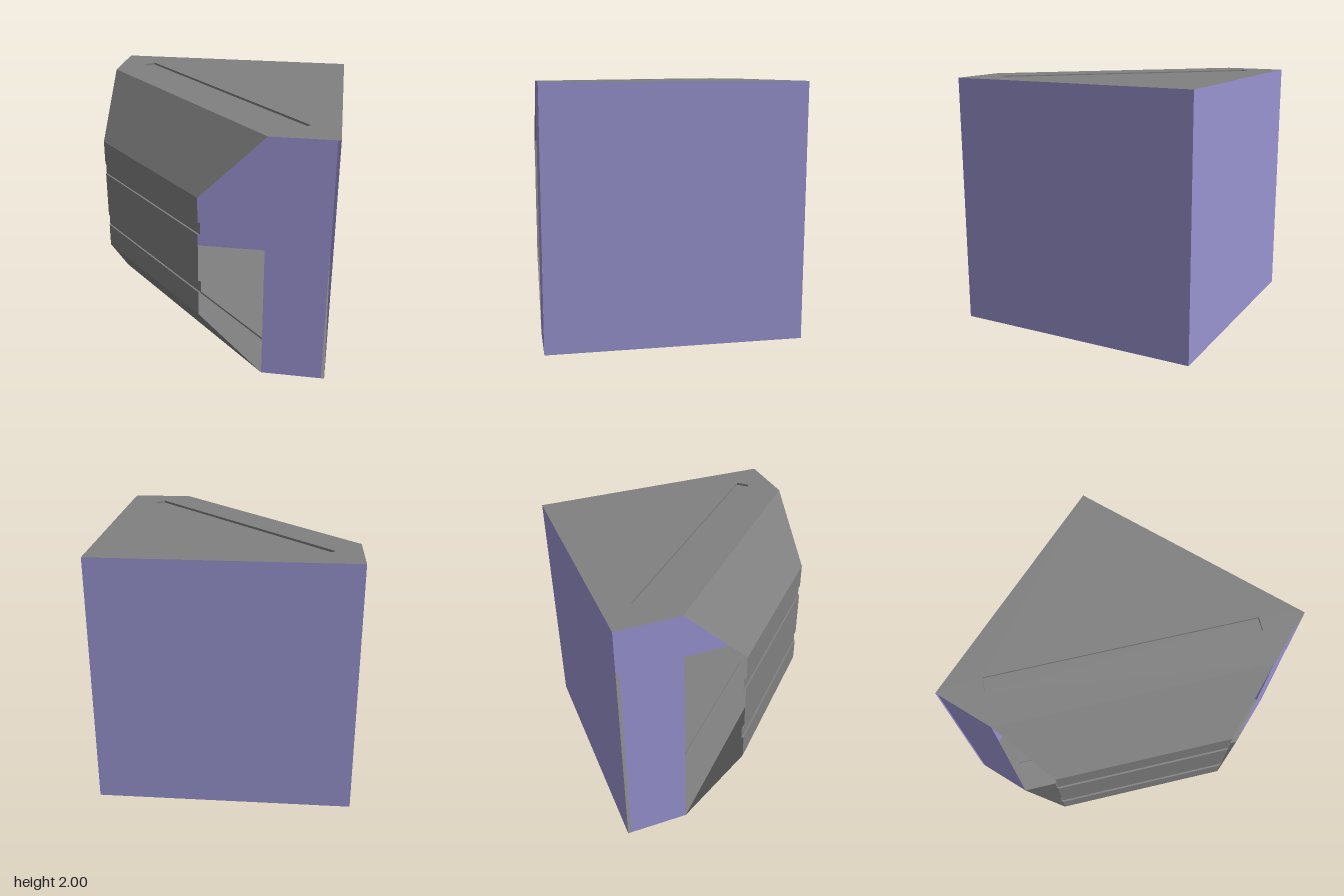
import * as THREE from 'three';

const grey = new THREE.MeshStandardMaterial({ color: 0x808080, side: THREE.DoubleSide, flatShading: true });
const purple = new THREE.MeshStandardMaterial({ color: 0x9893d0, side: THREE.DoubleSide, flatShading: true });

const points = (list) => list.map(([x, y]) => new THREE.Vector2(x, y));

// Ruled surface between two matching rows of [x, y, z] points
function ruled(rowA, rowB) {
  const pos = [];
  for (let i = 0; i < rowA.length - 1; i++) {
    const [a, b, c, d] = [rowA[i], rowB[i], rowB[i + 1], rowA[i + 1]];
    pos.push(...a, ...b, ...c, ...a, ...c, ...d);
  }
  const geo = new THREE.BufferGeometry();
  geo.setAttribute('position', new THREE.Float32BufferAttribute(pos, 3));
  geo.computeVertexNormals();
  return geo;
}

// Upright sheet from floor to top between two plan points [x, z]
const sheet = ([x0, z0], [x1, z1]) =>
  ruled([[x0, 0, z0], [x0, 2, z0]], [[x1, 0, z1], [x1, 2, z1]]);

// Plan outline of floor and top, and the diagonal slot in each
const outline = [[-1, -1], [1, -1], [1, 1], [0.5, 1], [-1, -0.5]];
const slot = [[-0.8, -0.7], [-0.72, -0.78], [0.78, 0.72], [0.7, 0.8]];
const slotDepth = 0.018;

// Plate at height y whose slot is sunk towards the inside of the body
function plate(name, y, inward) {
  const group = new THREE.Group();
  group.name = name;
  const add = (part, geo) => {
    const mesh = new THREE.Mesh(geo, grey);
    mesh.name = part;
    group.add(mesh);
  };
  const flat = (shape, h) => new THREE.ShapeGeometry(shape).rotateX(Math.PI / 2).translate(0, h, 0);
  const face = new THREE.Shape(points(outline));
  face.holes.push(new THREE.Path(points(slot)));
  const sunk = y + inward * slotDepth;
  add('plateFace', flat(face, y));
  add('slotBottom', flat(new THREE.Shape(points(slot)), sunk));
  const loop = [...slot, slot[0]];
  add('slotSides', ruled(loop.map(([x, z]) => [x, y, z]), loop.map(([x, z]) => [x, sunk, z])));
  return group;
}

export function createModel() {
  const model = new THREE.Group();
  model.name = 'cornerHousing';
  const add = (name, geo, mat) => {
    const mesh = new THREE.Mesh(geo, mat);
    mesh.name = name;
    model.add(mesh);
  };

  // Full outer walls
  add('leftWall', sheet([1, 1], [1, -1]), purple);
  add('backWall', sheet([1, -1], [-1, -1]), purple);

  // Narrow end panels, leaving a slim gap beside each wall
  add('frontEndPanel', sheet([0.5, 1], [0.975, 1]), purple);
  add('rightEndPanel', sheet([-1, -0.975], [-1, -0.5]), purple);

  // Diagonal front: two bevels and an upright face with two grooves; [setback, y]
  const g = 0.02;
  const profile = [[0.5, 0], [0, 0.5]];
  for (const y of [0.7, 1.2]) profile.push([0, y], [g, y], [g, y + 0.1], [0, y + 0.1]);
  profile.push([0, 1.5], [0.5, 2]);
  add('groovedFront', ruled(
    profile.map(([t, y]) => [-1, y, -t]),
    profile.map(([t, y]) => [t, y, 1])
  ), grey);

  // Floor and top plates
  model.add(plate('floorPlate', 0, 1), plate('topPlate', 2, -1));
  return model;
}
